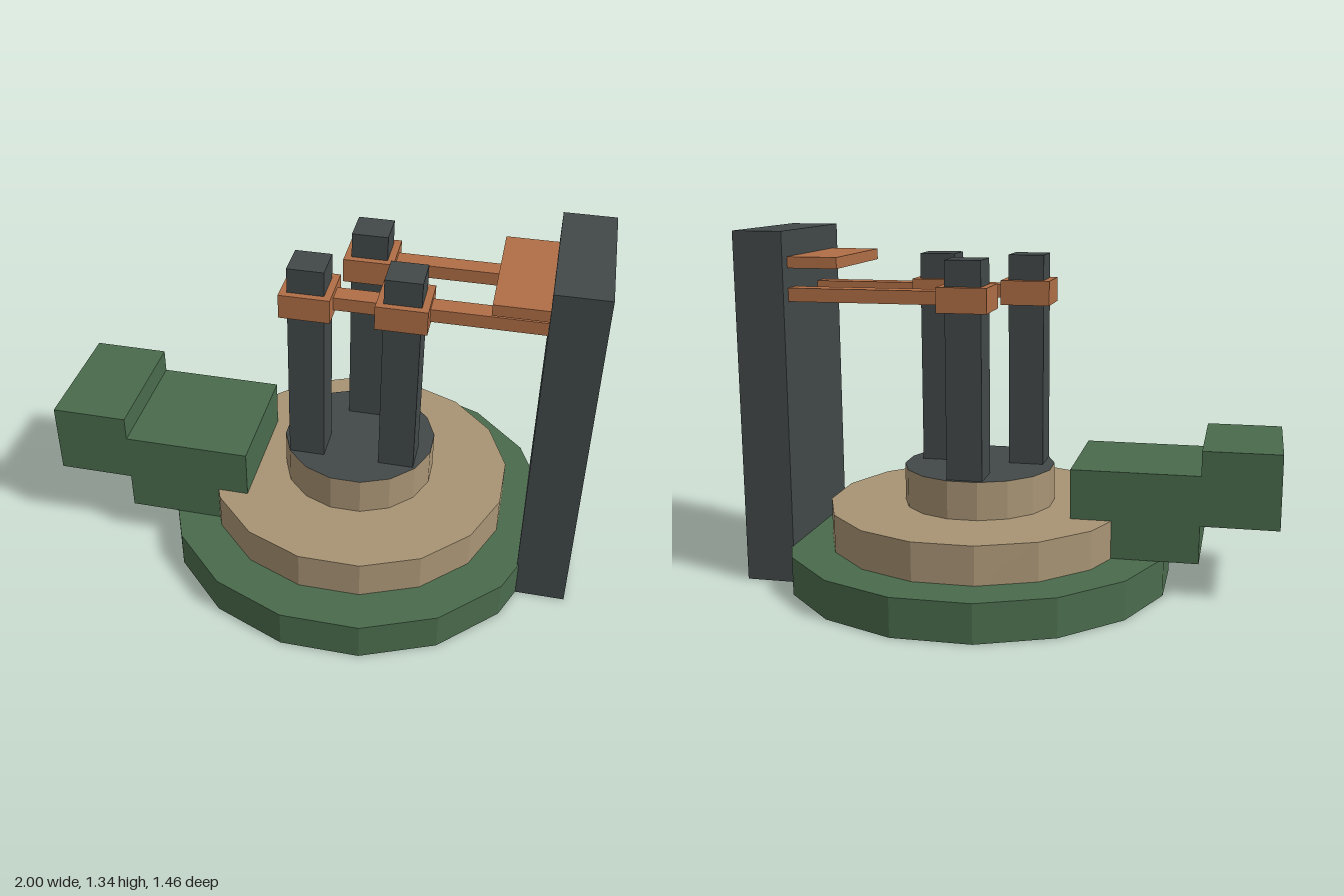
import * as THREE from 'three';

const mat = (name, color, side = THREE.FrontSide) => {
  const m = new THREE.MeshStandardMaterial({ color, side });
  m.name = name;
  return m;
};

export function createModel() {
  const model = new THREE.Group();
  model.name = 'pillarShrine';
  const green = mat('mossGreen', 0x4a6b4c, THREE.DoubleSide);
  const tan = mat('sandstone', 0xa89474);
  const slate = mat('darkSlate', 0x424849);
  const copper = mat('copper', 0xb06e45);
  const gold = mat('gold', 0xd3a257);

  const add = (name, geometry, material, x = 0, y = 0, z = 0) => {
    const mesh = new THREE.Mesh(geometry, material);
    mesh.name = name;
    mesh.position.set(x, y, z);
    model.add(mesh);
    return mesh;
  };
  // Box given by its extents along each axis
  const box = (name, material, [x0, x1], [y0, y1], [z0, z1]) =>
    add(name, new THREE.BoxGeometry(x1 - x0, y1 - y0, z1 - z0), material,
      (x0 + x1) / 2, (y0 + y1) / 2, (z0 + z1) / 2);

  // Sixteen-sided faceted drum wall and lid, with flats facing the axes
  const cx = 0.145, sides = 16, step = 0.145;
  const drum = (name, apothem, y0, wallMaterial, lidMaterial) => {
    const r = apothem / Math.cos(Math.PI / sides);
    const wall = new THREE.CylinderGeometry(r, r, step, sides, 1, true, Math.PI / sides)
      .toNonIndexed();
    wall.computeVertexNormals();
    add(name + 'Wall', wall, wallMaterial, cx, y0 + step / 2);
    const lid = new THREE.CircleGeometry(r, sides, Math.PI / sides).rotateX(-Math.PI / 2);
    add(name + 'Top', lid, lidMaterial, cx, y0 + step);
  };
  // The base is a hollow cup, open underneath
  drum('base', 0.73, 0, green, green);
  drum('middleTier', 0.57, step, tan, tan);
  drum('upperTier', 0.285, step * 2, tan, slate);

  // Stepped arm on the right side
  box('armLower', green, [-0.715, -0.24], [0.147, 0.477], [-0.19, 0.28]);
  box('armUpper', green, [-1, -0.715], [0.29, 0.57], [-0.19, 0.28]);

  // Tall slab on the left side
  box('slab', slate, [0.81, 1], [0, 1.335], [-0.287, 0.287]);

  // Three posts, each with a collar and a peg inside the base
  const posts = [[-0.032, 0.09], [0.312, 0.09], [0.14, -0.203]];
  for (const [x, z] of posts) {
    const span = (c, w) => [c - w / 2, c + w / 2];
    box('post', slate, span(x, 0.134), [0.43, 1.24], span(z, 0.134));
    box('collar', copper, span(x, 0.186), [1.053, 1.145], span(z, 0.186));
    box('peg', gold, span(x, 0.094), [0, 0.143], span(z, 0.094));
  }

  // Beams from the collars to the slab, and the ledge above them
  const beamY = [1.075, 1.125];
  box('linkBeam', copper, [0.06, 0.22], beamY, [0.053, 0.127]);
  box('frontBeam', copper, [0.4, 0.81], beamY, [0.053, 0.127]);
  box('backBeam', copper, [0.23, 0.81], beamY, [-0.24, -0.166]);
  box('ledge', copper, [0.62, 0.81], [1.198, 1.24], [-0.24, 0.235]);

  return model;
}
